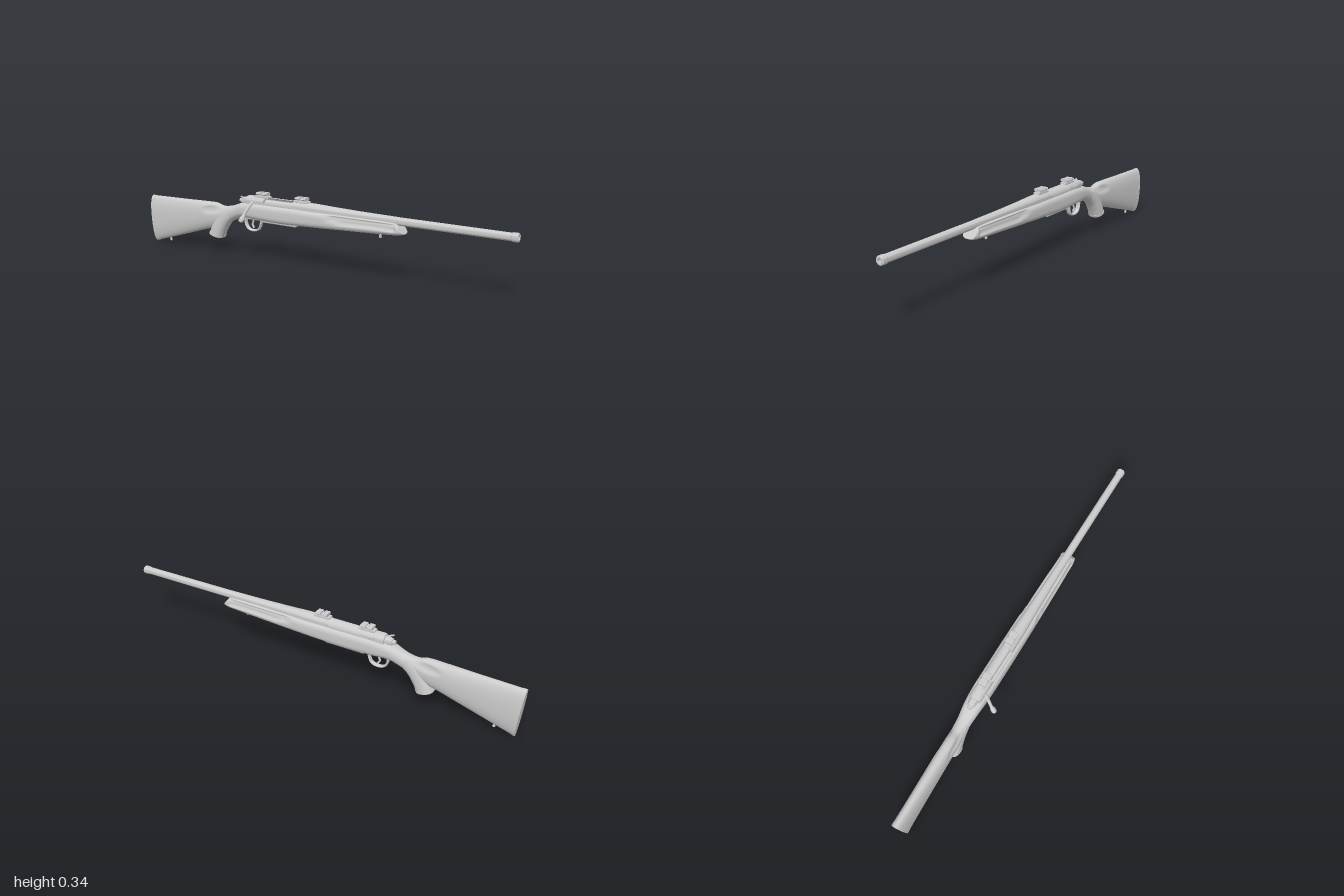
import * as THREE from 'three';
import { toCreasedNormals } from 'three/addons/utils/BufferGeometryUtils.js';
import { RoundedBoxGeometry } from 'three/addons/geometries/RoundedBoxGeometry.js';

const AXIS_Y = 0.287; // bore height
const steel = new THREE.MeshStandardMaterial({ color: 0xcccccc });
const open = new THREE.MeshStandardMaterial({ color: 0xcccccc, side: THREE.DoubleSide });
const V = (x, y, z = 0) => new THREE.Vector3(x, y, z);

function add(parent, name, geometry, material = steel) {
  const mesh = new THREE.Mesh(geometry, material);
  mesh.name = name;
  parent.add(mesh);
  return mesh;
}

// Smooth loft; section: [topX, topY, bottomX, bottomY, halfWidth, squareness]
function loft(sections, carve = null, steps = 12, ring = 56) {
  const a = new THREE.CatmullRomCurve3(sections.map(s => V(s[0], s[1], s[4])));
  const b = new THREE.CatmullRomCurve3(sections.map(s => V(s[2], s[3], s[5] / 50)));
  const n = (sections.length - 1) * steps;
  const pos = [], index = [];
  for (let i = 0; i <= n; i++) {
    const t = a.getPoint(i / n), d = b.getPoint(i / n), e = 2 / (d.z * 50);
    for (let j = 0; j < ring; j++) {
      const w = (j / ring) * Math.PI * 2;
      const c = Math.sign(Math.cos(w)) * Math.abs(Math.cos(w)) ** e;
      const s = Math.sign(Math.sin(w)) * Math.abs(Math.sin(w)) ** e;
      const x = (t.x + d.x) / 2 + c * (t.x - d.x) / 2;
      const y = (t.y + d.y) / 2 + c * (t.y - d.y) / 2;
      let z = s * t.z;
      if (carve) z = Math.sign(z) * Math.max(0, Math.abs(z) - carve(x, y));
      pos.push(x, y, z);
    }
  }
  for (let i = 0; i < n; i++) for (let j = 0; j < ring; j++) {
    const k = (j + 1) % ring, p = i * ring, q = p + ring;
    index.push(p + j, p + k, q + j, p + k, q + k, q + j);
  }
  // end caps
  for (const last of [false, true]) {
    const start = last ? n * ring : 0, base = pos.length / 3;
    const s = sections[last ? sections.length - 1 : 0];
    for (let j = 0; j < ring; j++) pos.push(...pos.slice((start + j) * 3, (start + j) * 3 + 3));
    pos.push((s[0] + s[2]) / 2, (s[1] + s[3]) / 2, 0);
    for (let j = 0; j < ring; j++) {
      const k = (j + 1) % ring;
      index.push(base + ring, base + (last ? j : k), base + (last ? k : j));
    }
  }
  const g = new THREE.BufferGeometry();
  g.setAttribute('position', new THREE.Float32BufferAttribute(pos, 3));
  g.setIndex(index);
  g.computeVertexNormals();
  return g;
}

// Turned part along x; points are [x, radius]
function turned(points, segments = 40) {
  const g = new THREE.LatheGeometry(points.map(p => new THREE.Vector2(p[1], p[0])), segments);
  g.rotateZ(-Math.PI / 2);
  return toCreasedNormals(g, 0.6);
}

const tube = (points, r) => new THREE.TubeGeometry(new THREE.CatmullRomCurve3(points), 40, r, 14);

// Side scoops: forend finger grooves and the hollows behind the grip
function scoops(x, y) {
  const step = THREE.MathUtils.smoothstep;
  const low = 0.243 + 0.012 * (1 - step(x, 0.09, 0.2));
  const groove = step(x, 0.09, 0.15) * (1 - step(x, 0.45, 0.47))
    * step(y, low, low + 0.006) * (1 - step(y, 0.272, 0.28));
  const dx = (x + 0.575) / 0.07, dy = (y - 0.222 - (x + 0.575) * 0.1) / 0.022;
  return 0.009 * groove + 0.008 * Math.max(0, 1 - dx * dx - dy * dy);
}

export function createModel() {
  const model = new THREE.Group();
  model.name = 'boltActionRifle';
  const body = new THREE.Group();
  body.name = 'rifle';
  body.position.z = -0.028;
  model.add(body);

  // Stock from butt to forend tip
  add(body, 'stock', loft([
    [-1.0, 0.248, -0.98, 0.003, 0.030, 2.3],
    [-0.9, 0.25, -0.87, 0.036, 0.0305, 2.3],
    [-0.75, 0.253, -0.73, 0.079, 0.032, 2.3],
    [-0.63, 0.256, -0.62, 0.113, 0.033, 2.3],
    [-0.56, 0.256, -0.555, 0.13, 0.033, 2.2],
    [-0.515, 0.245, -0.505, 0.15, 0.031, 2.1],
    [-0.46, 0.252, -0.45, 0.178, 0.033, 2.2],
    [-0.39, 0.276, -0.385, 0.204, 0.040, 2.6],
    [-0.32, 0.284, -0.32, 0.203, 0.044, 3.2],
    [-0.15, 0.285, -0.15, 0.2, 0.045, 3.5],
    [-0.05, 0.285, -0.05, 0.203, 0.045, 3.5],
    [0.08, 0.284, 0.08, 0.208, 0.044, 3.4],
    [0.25, 0.284, 0.25, 0.216, 0.042, 3.4],
    [0.4, 0.283, 0.405, 0.223, 0.039, 3.2],
    [0.455, 0.28, 0.478, 0.228, 0.037, 3],
    [0.467, 0.275, 0.497, 0.234, 0.033, 2.8],
  ], scoops));

  // Butt pad
  add(body, 'buttPad', loft([
    [-1.0, 0.249, -0.98, 0.001, 0.031, 2.3],
    [-0.98, 0.25, -0.96, 0.008, 0.031, 2.3],
  ]));

  // Pistol grip and its cap; sections run front edge to back edge
  add(body, 'pistolGrip', loft([
    [-0.4, 0.215, -0.5, 0.24, 0.03, 2.3],
    [-0.435, 0.192, -0.53, 0.218, 0.033, 2.4],
    [-0.475, 0.16, -0.557, 0.185, 0.035, 2.4],
    [-0.502, 0.123, -0.58, 0.145, 0.0365, 2.4],
    [-0.52, 0.088, -0.597, 0.108, 0.037, 2.4],
  ]));
  add(body, 'gripCap', loft([
    [-0.518, 0.088, -0.599, 0.108, 0.0385, 2.4],
    [-0.523, 0.078, -0.603, 0.099, 0.0385, 2.4],
  ]));

  // Barrel with hollow crowned muzzle
  const barrel = add(body, 'barrel', turned([
    [-0.02, 0], [-0.02, 0.03], [0.04, 0.0295], [0.12, 0.026], [0.28, 0.0215], [0.48, 0.0185],
    [0.972, 0.0175], [0.975, 0.02], [0.996, 0.02], [1, 0.017], [1, 0.01], [0.95, 0.009], [0.95, 0],
  ]));
  barrel.position.y = AXIS_Y;

  // Receiver: two closed rings joined by a wall with the ejection port cut out
  const receiver = new THREE.Group();
  receiver.name = 'receiver';
  receiver.position.y = AXIS_Y;
  body.add(receiver);
  add(receiver, 'rearRing', turned([[-0.36, 0.017], [-0.36, 0.027], [-0.352, 0.03], [-0.25, 0.03], [-0.25, 0.017]]));
  add(receiver, 'frontRing', turned([[-0.085, 0.017], [-0.085, 0.03], [0, 0.03]]));
  const wall = new THREE.CylinderGeometry(0.03, 0.03, 0.165, 40, 1, true, -0.15, 5.1);
  wall.rotateZ(-Math.PI / 2);
  add(receiver, 'portWall', wall, open).position.x = -0.1675;
  add(receiver, 'boltBody', turned([[-0.37, 0.017], [-0.08, 0.017]]));
  add(receiver, 'boltShroud', turned([
    [-0.408, 0], [-0.408, 0.009], [-0.395, 0.011], [-0.393, 0.016], [-0.375, 0.02], [-0.355, 0.02], [-0.355, 0],
  ]));
  const safety = add(receiver, 'safetyLever', new RoundedBoxGeometry(0.035, 0.007, 0.008, 2, 0.003));
  safety.position.set(-0.375, 0.016, 0.02);
  safety.rotation.z = -0.4;
  const release = add(receiver, 'boltRelease', new RoundedBoxGeometry(0.03, 0.012, 0.006, 2, 0.002));
  release.position.set(-0.3, 0.008, -0.031);

  // Bolt handle swept out, down and back to a pear-shaped knob
  add(body, 'boltHandle', tube([
    V(-0.315, 0.293, 0.012), V(-0.317, 0.282, 0.034), V(-0.325, 0.262, 0.05), V(-0.335, 0.235, 0.069),
  ], 0.0075));
  const knob = add(body, 'boltKnob', turned([
    [-0.024, 0], [-0.024, 0.006], [-0.012, 0.008], [0.004, 0.0125], [0.016, 0.0125], [0.023, 0.009], [0.025, 0],
  ], 24));
  knob.position.set(-0.338, 0.218, 0.078);
  knob.quaternion.setFromUnitVectors(V(1, 0, 0), V(-0.2, -0.78, 0.55).normalize());

  // Scope mount bases with dovetail tops
  const rail = new THREE.Shape([[-0.015, 0.022], [0.015, 0.022], [0.015, 0.039], [0.021, 0.044], [0.018, 0.051],
    [-0.018, 0.051], [-0.021, 0.044], [-0.015, 0.039]].map(p => new THREE.Vector2(...p)));
  for (const x of [-0.27, -0.043]) {
    const mount = new THREE.Group();
    mount.name = 'scopeMount';
    mount.position.set(x, AXIS_Y, 0);
    body.add(mount);
    add(mount, 'mountFoot', new RoundedBoxGeometry(0.08, 0.012, 0.032, 2, 0.003)).position.y = 0.03;
    for (const side of [-1, 1]) {
      const g = new THREE.ExtrudeGeometry(rail, { depth: 0.024, bevelEnabled: false });
      g.translate(0, 0, -0.012).rotateY(Math.PI / 2);
      add(mount, 'mountLug', g).position.x = side * 0.017;
    }
    add(mount, 'mountSlotFloor', new THREE.BoxGeometry(0.05, 0.02, 0.028)).position.y = 0.035;
  }

  // Magazine floor plate, trigger and guard
  add(body, 'floorPlate', new RoundedBoxGeometry(0.2, 0.024, 0.046, 3, 0.006)).position.set(-0.165, 0.205, 0);
  add(body, 'guardTang', new RoundedBoxGeometry(0.15, 0.014, 0.028, 3, 0.004)).position.set(-0.325, 0.204, 0);
  const guard = tube([
    V(-0.376, 0.205), V(-0.375, 0.175), V(-0.36, 0.15), V(-0.33, 0.142), V(-0.298, 0.151), V(-0.284, 0.178), V(-0.28, 0.205),
  ], 0.0055);
  add(body, 'triggerGuard', guard.scale(1, 1, 2.2));
  add(body, 'trigger', tube([V(-0.325, 0.21), V(-0.332, 0.185), V(-0.336, 0.17), V(-0.327, 0.155)], 0.005));

  // Sling studs
  for (const [x, y] of [[-0.885, 0.028], [0.375, 0.216]]) {
    add(body, 'slingStud', new THREE.CylinderGeometry(0.004, 0.006, 0.016, 16)).position.set(x, y, 0);
    add(body, 'slingStudEye', new THREE.TorusGeometry(0.005, 0.0025, 8, 20)).position.set(x, y - 0.009, 0);
  }
  return model;
}
